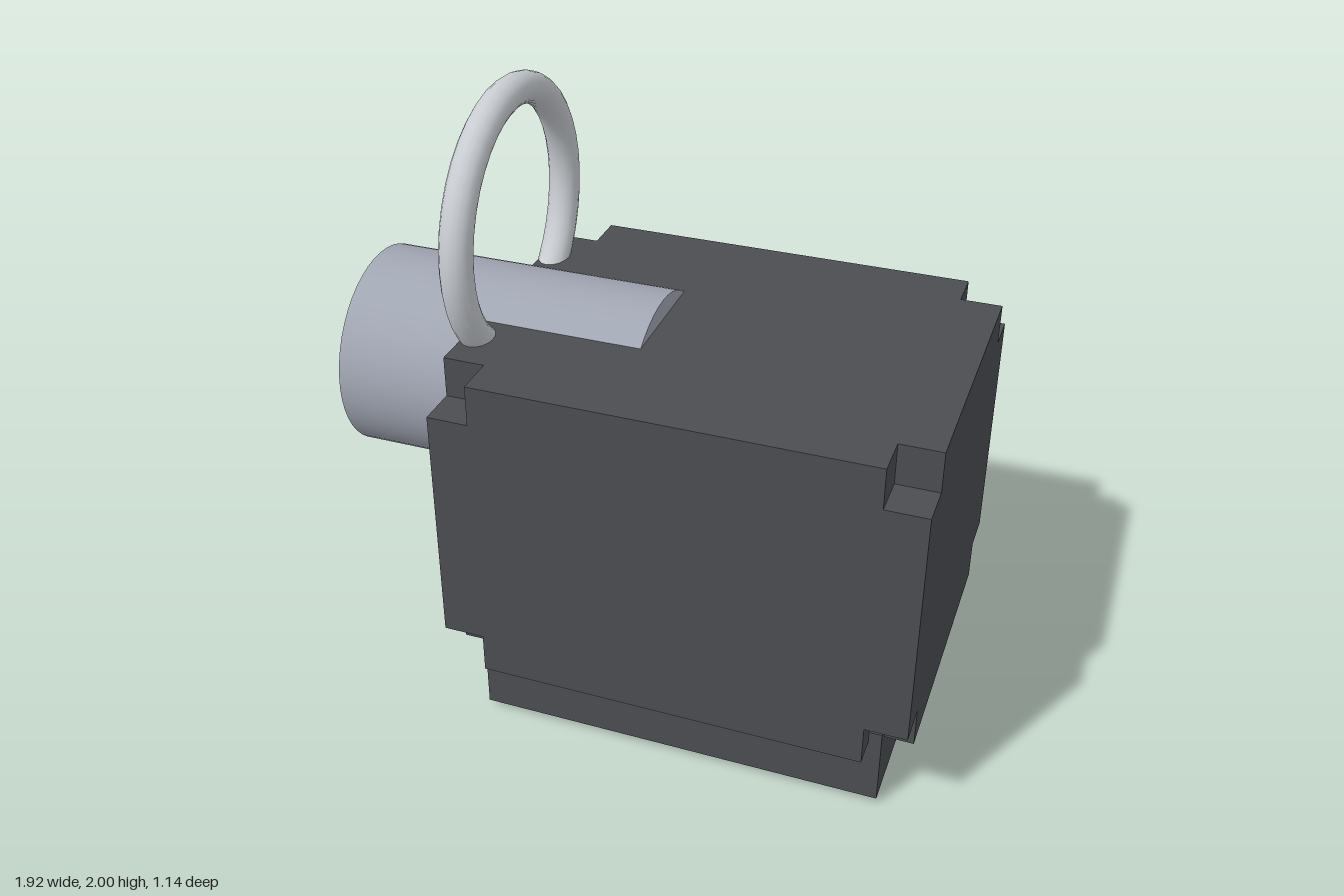
import * as THREE from 'three';

export function createModel() {
  const model = new THREE.Group();
  const bodyGrey = new THREE.MeshStandardMaterial({ color: 0x4b4d52 });
  bodyGrey.name = 'dark grey';
  const footGrey = new THREE.MeshStandardMaterial({ color: 0x484c4d });
  footGrey.name = 'charcoal';
  const barrelGrey = new THREE.MeshStandardMaterial({ color: 0xa1a6b3 });
  barrelGrey.name = 'blue grey';
  const ringGrey = new THREE.MeshStandardMaterial({ color: 0xc8ccd1 });
  ringGrey.name = 'light grey';

  function add(name, geometry, material, x, y, z, parent = model) {
    const mesh = new THREE.Mesh(geometry, material);
    mesh.name = name;
    mesh.position.set(x, y, z);
    parent.add(mesh);
    return mesh;
  }

  // Housing: a block with a cube cut from each of its eight corners
  const hx = 0.7425, hz = 0.57, height = 1.045, cut = 0.13;
  const ix = hx - cut, iz = hz - cut;
  const housing = new THREE.Group();
  housing.name = 'housing';
  housing.position.set(0.2175, 0.245, 0);
  model.add(housing);

  const cross = new THREE.Shape([
    [-ix, -hz], [ix, -hz], [ix, -iz], [hx, -iz], [hx, iz], [ix, iz],
    [ix, hz], [-ix, hz], [-ix, iz], [-hx, iz], [-hx, -iz], [-ix, -iz],
  ].map(([x, y]) => new THREE.Vector2(x, y)));
  const core = new THREE.ExtrudeGeometry(cross, { depth: height, bevelEnabled: false });
  core.rotateX(-Math.PI / 2);
  add('housingCore', core, bodyGrey, 0, 0, 0, housing);

  // Shorter posts fill the corners between the upper and lower notches
  const post = new THREE.BoxGeometry(cut, height - 2 * cut, cut);
  for (const sx of [-1, 1]) {
    for (const sz of [-1, 1]) {
      add('cornerPost', post, bodyGrey, sx * (hx - cut / 2), height / 2, sz * (hz - cut / 2), housing);
    }
  }

  // Plinth, its top showing inside the lower notches
  add('base', new THREE.BoxGeometry(1.305, 0.26, 0.96), bodyGrey, 0.2175, 0.155, 0);

  // Horizontal cylinders on the right-hand end
  function cylinder(name, radius, x0, x1, y, material) {
    const geometry = new THREE.CylinderGeometry(radius, radius, x1 - x0, 48);
    geometry.rotateZ(Math.PI / 2);
    add(name, geometry, material, (x0 + x1) / 2, y, 0);
  }
  cylinder('barrel', 0.325, -0.965, 0, 1.03, barrelGrey);
  cylinder('lowerDisc', 0.24, -0.612, -0.355, 0.24, footGrey);

  // Upright ring
  const ring = new THREE.TorusGeometry(0.395, 0.05, 16, 40);
  ring.rotateY(Math.PI / 2);
  add('ring', ring, ringGrey, -0.485, 1.555, 0);

  return model;
}
